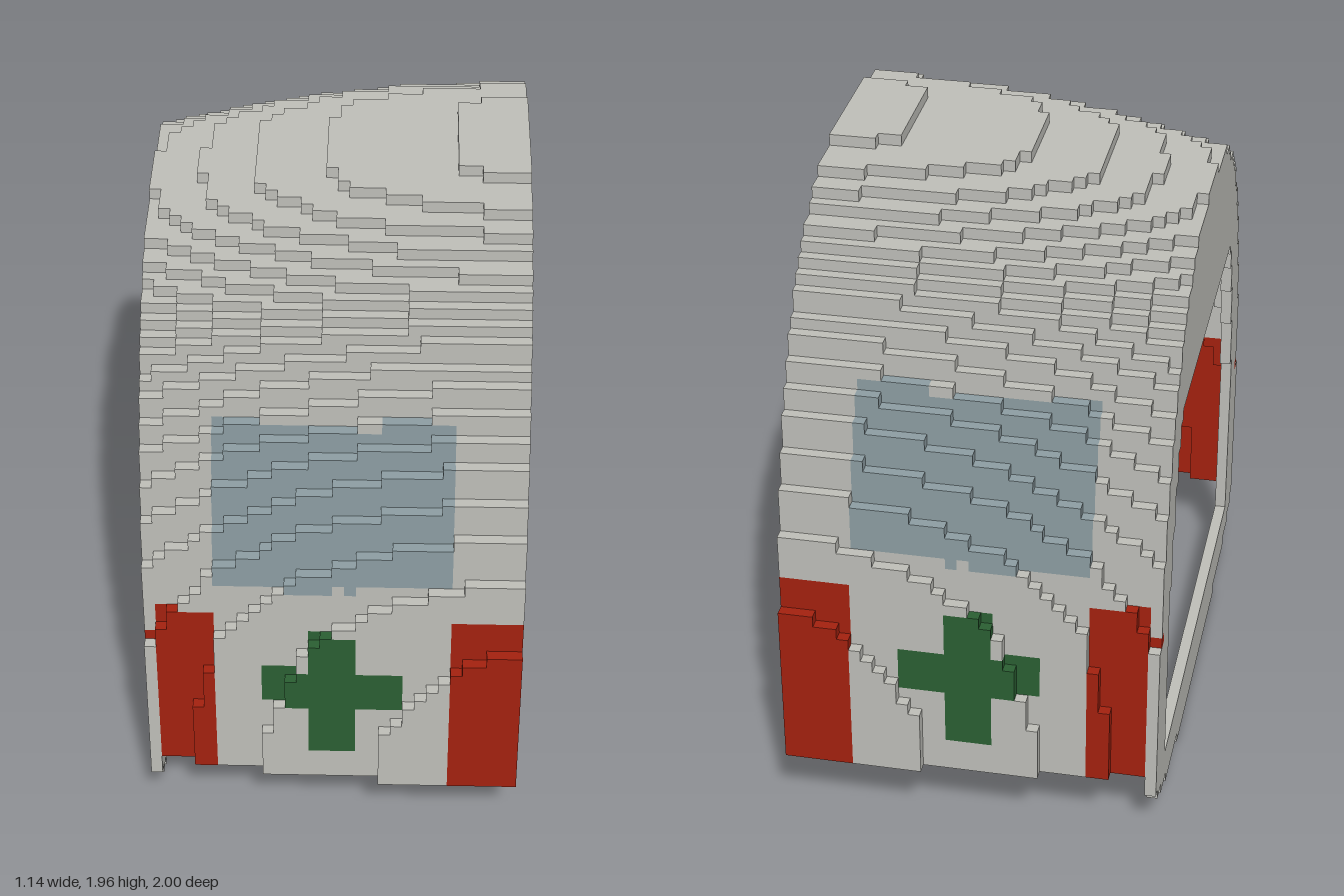
import * as THREE from 'three';

// Block grid: 32 slices along x, 55 rows along y, 56 columns along z
const UNIT = 1 / 28, NX = 32, NY = 55, NZ = 56;

// Half-width against height of the widest arch slice, in blocks
const PROFILE = [[27.95, 0], [27.95, 11], [27.78, 15], [27.5, 21], [26.5, 28], [25.5, 32], [24.5, 35],
  [23.5, 38], [20.5, 44], [18.5, 47], [15.5, 50], [12.6, 52], [9.8, 53.5], [6.3, 54.5], [5, 54.65], [0, 54.7]];
const FOOT = [12, 19, 22, 24, 25, 25];                                   // rounded base of the end frame
const OPENING = [[20, 22], [19, 27], [18, 31], [17, 34], [16, 36], [15, 37]]; // half-width, up to row

function profileWidth(y) {
  for (let n = 1; n < PROFILE.length; n++) {
    const [w0, y0] = PROFILE[n - 1], [w1, y1] = PROFILE[n];
    if (y <= y1) return w0 + (w1 - w0) * (y - y0) / (y1 - y0);
  }
  return 0;
}

// Arch half-width at slice i, row j; the arch swells towards +x
function halfWidth(i, j) {
  const grow = 1 - (1 - (i + 0.5) / NX) ** 2;
  const top = 50.4 + 4.28 * grow, y = j + 0.5;
  if (y > top) return 0;
  const lifted = y + (54.7 - top) * (y / top) ** 2;
  return Math.round(profileWidth(lifted) * (24.75 + 3.2 * grow) / 27.95);
}

function isSolid(i, j, z) {
  if (i === 0) { // end frame with its opening
    if (j < 6) return z < FOOT[j] && !(j === 5 && z < 20);
    const step = OPENING.find(([, top]) => j < top);
    return z < halfWidth(i, j) && !(step && z < step[0]);
  }
  if (j < 6 || z >= halfWidth(i, j)) return false;
  // shell about two blocks thick
  return !(z + 2 < halfWidth(i, j + 1) && z + 1 < halfWidth(i, j + 2));
}

const within = (v, a, b) => v >= a && v < b;

function partAt(i, j, z) {
  if (!isSolid(i, j, z)) return null;
  if (i === 0) return j === 19 && z > 23 ? 'cornerPanels' : 'endFrame';
  if ((i < 6 && j < 23) || (i >= 26 && j < 24)) return 'cornerPanels';
  if ((within(i, 14, 18) && within(j, 9, 22)) || (within(i, 10, 22) && within(j, 14, 18))) return 'sideCrosses';
  if (within(i, 6, 26) && within(j, i < 16 || i === 17 ? 26 : 27, i < 20 ? 40 : 41)) return 'sideWindows';
  return 'archShell';
}

export function createModel() {
  const paint = (name, color) => Object.assign(new THREE.MeshStandardMaterial({ color }), { name });
  const grey = paint('pale grey', 0xc0c0ba);
  const materials = {
    archShell: grey,
    endFrame: grey,
    cornerPanels: paint('red', 0xa5210f),
    sideCrosses: paint('green', 0x2b6033),
    sideWindows: paint('blue grey glass', 0x8e9fa4),
  };

  // Fill the grid
  const cells = new Map();
  const key = (i, j, k) => (i * 64 + j) * 64 + k;
  for (let i = 0; i < NX; i++)
    for (let j = 0; j < NY; j++)
      for (let k = 0; k < NZ; k++) {
        const part = partAt(i, j, Math.abs(k + 0.5 - NZ / 2));
        if (part) cells.set(key(i, j, k), { part, at: [i, j, k] });
      }
  const filled = (p) => p[0] >= 0 && p[1] >= 0 && p[2] >= 0 && cells.has(key(...p));

  // Collect only the exposed block faces of each part
  const faces = {};
  const corners = [[0, 0], [1, 0], [1, 1], [0, 1]];
  for (const { part, at } of cells.values()) {
    const out = (faces[part] ??= { position: [], normal: [], index: [] });
    for (let axis = 0; axis < 3; axis++)
      for (const sign of [1, -1]) {
        const next = [...at];
        next[axis] += sign;
        if (filled(next)) continue;
        const start = out.position.length / 3;
        const normal = [0, 0, 0];
        normal[axis] = sign;
        for (const [u, v] of corners) {
          const c = [...at];
          if (sign > 0) c[axis]++;
          c[(axis + 1) % 3] += u;
          c[(axis + 2) % 3] += v;
          out.position.push((c[0] - NX / 2) * UNIT, c[1] * UNIT, (c[2] - NZ / 2) * UNIT);
          out.normal.push(...normal);
        }
        const order = sign > 0 ? [0, 1, 2, 0, 2, 3] : [0, 2, 1, 0, 3, 2];
        out.index.push(...order.map((n) => start + n));
      }
  }

  const model = new THREE.Group();
  model.name = 'blockArch';
  for (const [part, { position, normal, index }] of Object.entries(faces)) {
    const geometry = new THREE.BufferGeometry();
    geometry.setAttribute('position', new THREE.Float32BufferAttribute(position, 3));
    geometry.setAttribute('normal', new THREE.Float32BufferAttribute(normal, 3));
    geometry.setIndex(index);
    const mesh = new THREE.Mesh(geometry, materials[part]);
    mesh.name = part;
    model.add(mesh);
  }
  return model;
}
